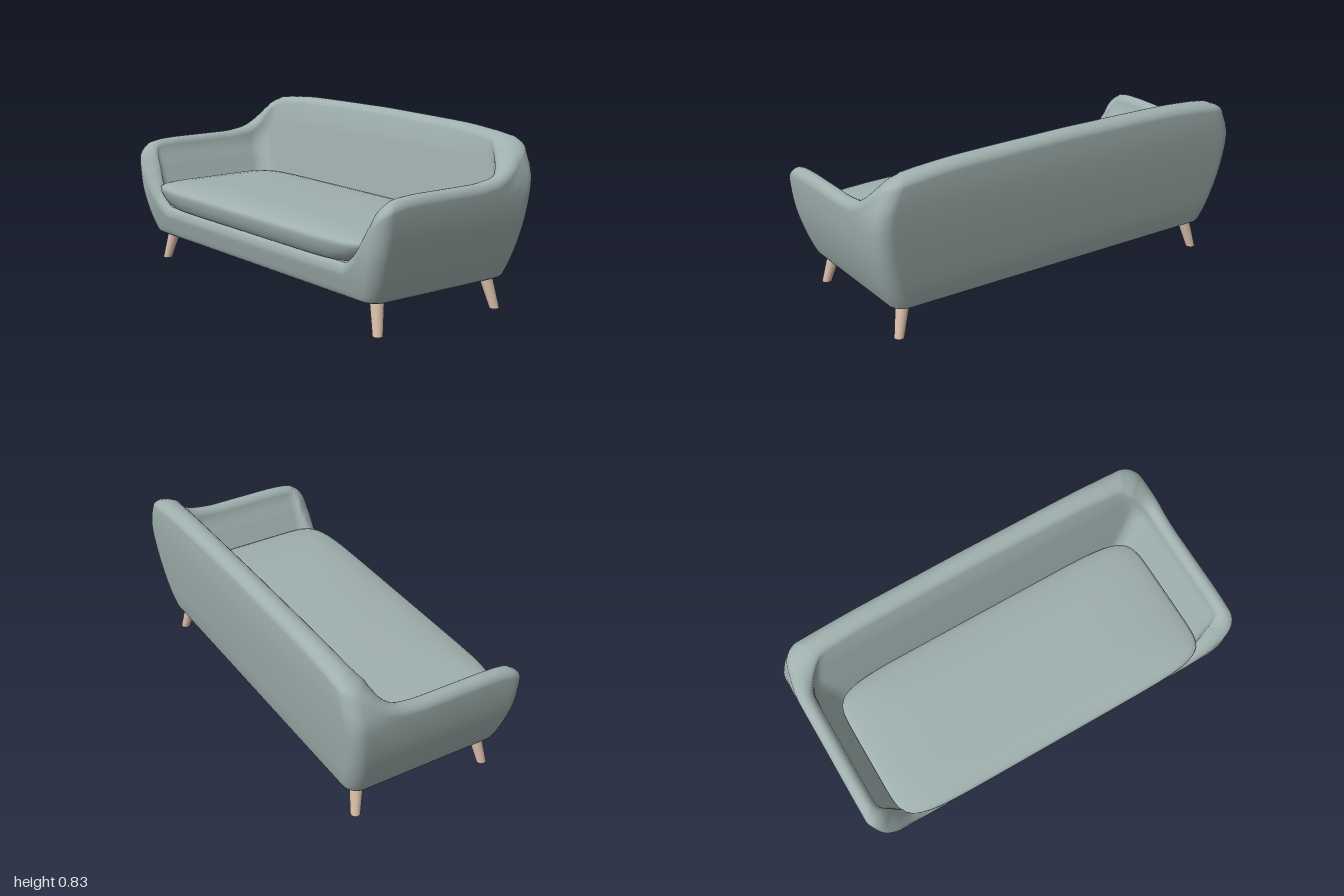
import * as THREE from 'three';

// Smooth monotone curve through [input, output] keys.
function curve(keys) {
  const n = keys.length;
  const slope = keys.slice(1).map((k, i) => (k[1] - keys[i][1]) / (k[0] - keys[i][0]));
  const tan = keys.map((k, i) => {
    if (i === 0) return slope[0];
    if (i === n - 1) return slope[n - 2];
    const a = slope[i - 1], b = slope[i];
    return a * b <= 0 ? 0 : (2 * a * b) / (a + b);
  });
  return (x) => {
    if (x <= keys[0][0]) return keys[0][1];
    if (x >= keys[n - 1][0]) return keys[n - 1][1];
    let i = 0;
    while (x > keys[i + 1][0]) i++;
    const h = keys[i + 1][0] - keys[i][0], s = (x - keys[i][0]) / h;
    const s2 = s * s, s3 = s2 * s;
    return (2 * s3 - 3 * s2 + 1) * keys[i][1] + (s3 - 2 * s2 + s) * h * tan[i]
      + (3 * s2 - 2 * s3) * keys[i + 1][1] + (s3 - s2) * h * tan[i + 1];
  };
}

// Skin over closed profiles: columns[j] is a list of [x, y, z] from bottom to top.
function skin(columns) {
  const cols = columns.length, rows = columns[0].length, index = [];
  for (let j = 0; j < cols; j++) {
    const k = (j + 1) % cols;
    for (let i = 0; i < rows - 1; i++) {
      const a = j * rows + i, b = k * rows + i;
      index.push(a, b, b + 1, a, b + 1, a + 1);
    }
  }
  const g = new THREE.BufferGeometry();
  g.setAttribute('position', new THREE.Float32BufferAttribute(columns.flat(2), 3));
  g.setIndex(index);
  g.computeVertexNormals();
  return g;
}

// Outer shell extents by height
const outX = curve([[0.145, 0.875], [0.155, 0.892], [0.2, 0.915], [0.3, 0.95], [0.4, 0.977], [0.5, 0.993],
  [0.6, 1], [0.66, 0.985], [0.72, 0.96], [0.78, 0.93], [0.83, 0.9]]);
const outFront = curve([[0.145, 0.39], [0.155, 0.405], [0.2, 0.42], [0.3, 0.442], [0.4, 0.452], [0.6, 0.452]]);
const outBack = curve([[0.145, -0.375], [0.155, -0.393], [0.2, -0.407], [0.4, -0.438], [0.6, -0.46], [0.7, -0.466], [0.83, -0.462]]);
// Inner wall extents by height
const inX = curve([[0.28, 0.78], [0.3, 0.8], [0.4, 0.85], [0.5, 0.89], [0.58, 0.922], [0.66, 0.91], [0.72, 0.89], [0.83, 0.84]]);
const inBack = curve([[0.28, -0.27], [0.5, -0.3], [0.65, -0.325], [0.72, -0.335], [0.78, -0.355], [0.83, -0.375]]);
// Rim height along half the perimeter: 0-1 front, 1-2 corner, 2-3 side, 3-4 corner, 4-5 back
const rim = curve([[0, 0.3], [0.82, 0.303], [0.9, 0.35], [0.95, 0.42], [1, 0.495], [1.5, 0.575], [2, 0.605],
  [2.1, 0.616], [2.23, 0.62], [2.6, 0.62], [2.75, 0.632], [2.85, 0.66], [2.92, 0.695], [3, 0.74],
  [3.5, 0.775], [4, 0.795], [4.13, 0.807], [4.35, 0.82], [5, 0.828]]);

const BASE = 0.145, FLOOR = 0.285, ROUND = 0.045;
const clamp = THREE.MathUtils.clamp, lerp = THREE.MathUtils.lerp;

function outer(t, y) {
  const r = 0.07, cx = outX(y) - r, zf = outFront(y) - r, zb = outBack(y) + r;
  if (t <= 1) return [t * cx, y, zf + r];
  if (t <= 2) {
    const a = (t - 1) * Math.PI / 2;
    return [cx + r * Math.sin(a), y, zf + r * Math.cos(a)];
  }
  if (t <= 3) return [cx + r, y, lerp(zf, zb, t - 2)];
  if (t <= 4) {
    const a = (t - 3) * Math.PI / 2;
    return [cx + r * Math.cos(a), y, zb - r * Math.sin(a)];
  }
  return [(5 - t) * cx, y, zb - r];
}

// Nearest point on the rounded inner rectangle
function inner(p, y) {
  const r = p[2] > 0 ? 0.05 : 0.08, cx = inX(y) - r;
  const x = clamp(p[0], -cx, cx), z = clamp(p[2], inBack(y) + r, 0.39 - r);
  const dx = p[0] - x, dz = p[2] - z, d = Math.hypot(dx, dz) || 1;
  return [x + r * dx / d, y, z + r * dz / d];
}

function shellProfile(t) {
  const H = rim(t), y0 = H - ROUND, yi = Math.max(y0, FLOOR);
  const edge = outer(t, BASE), pts = [[0, BASE, 0], [edge[0] * 0.97, BASE, edge[2] * 0.95]];
  for (const y of [BASE, 0.149, 0.155, 0.165]) pts.push(outer(t, y));
  for (let i = 1; i <= 10; i++) pts.push(outer(t, lerp(0.165, y0, i / 10)));
  const o = outer(t, y0), q = inner(o, yi);
  for (let i = 1; i <= 12; i++) {
    const a = Math.PI * i / 12, s = (1 - Math.cos(a)) / 2, b = i <= 6 ? y0 : yi;
    pts.push([lerp(o[0], q[0], s), b + (H - b) * Math.sin(a), lerp(o[2], q[2], s)]);
  }
  for (let i = 1; i <= 9; i++) pts.push(inner(o, lerp(yi, FLOOR, i / 9)));
  pts.push([0, FLOOR, 0]);
  return pts;
}

function shellGeometry() {
  const ts = [0];
  for (const [end, n] of [[0.8, 8], [1, 12], [2, 10], [3, 30], [4, 10], [5, 18]]) {
    const start = ts[ts.length - 1];
    for (let i = 1; i <= n; i++) ts.push(lerp(start, end, i / n));
  }
  const half = ts.map(shellProfile);
  const mirrored = half.slice(1, -1).reverse().map((c) => c.map(([x, y, z]) => [-x, y, z]));
  return skin([...half, ...mirrored]);
}

// Domed cushion: rows of [side inset, end inset, height]
function cushionGeometry() {
  const rows = [[0.84, 0.377, 0.3], [0.13, 0.06, 0.3], [0.09, 0.035, 0.305], [0.05, 0.018, 0.325], [0.02, 0.007, 0.355],
    [0.004, 0.001, 0.38], [0, 0, 0.393], [0.004, 0.003, 0.403], [0.02, 0.012, 0.411], [0.06, 0.035, 0.421],
    [0.13, 0.075, 0.43], [0.24, 0.13, 0.438], [0.4, 0.2, 0.442], [0.84, 0.377, 0.444]];
  const N = 112, columns = [];
  for (let j = 0; j < N; j++) {
    // Ease the angles so that the corners get enough points
    const u = j / N * Math.PI * 2, a = u + 0.1 * Math.sin(4 * u);
    const s = Math.sin(a), c = Math.cos(a), d = Math.pow(s ** 8 + c ** 8, 1 / 8);
    columns.push(rows.map(([ix, iz, y]) => [(0.84 - ix) * s / d, y, 0.0875 + (0.3775 - iz) * c / d]));
  }
  return skin(columns);
}

export function createModel() {
  const fabric = new THREE.MeshStandardMaterial({ color: 0x9fb0ae });
  fabric.name = 'greyGreenFabric';
  const wood = new THREE.MeshStandardMaterial({ color: 0xd8bda9 });
  wood.name = 'paleWood';

  const sofa = new THREE.Group();
  sofa.name = 'sofa';
  const add = (geometry, material, name) => {
    const mesh = new THREE.Mesh(geometry, material);
    mesh.name = name;
    sofa.add(mesh);
  };

  add(shellGeometry(), fabric, 'shell');
  add(cushionGeometry(), fabric, 'seatCushion');

  // Splayed tapering legs, sheared so that the feet stay flat
  for (const sx of [1, -1]) {
    for (const sz of [1, -1]) {
      const leg = new THREE.CylinderGeometry(0.033, 0.023, 0.16, 24);
      leg.translate(0, 0.08, 0);
      leg.applyMatrix4(new THREE.Matrix4().set(
        1, -0.25 * sx, 0, 0.86 * sx,
        0, 1, 0, 0,
        0, -0.17 * sz, 1, 0.348 * sz,
        0, 0, 0, 1));
      add(leg, wood, (sz > 0 ? 'front' : 'back') + (sx > 0 ? 'Left' : 'Right') + 'Leg');
    }
  }
  return sofa;
}
